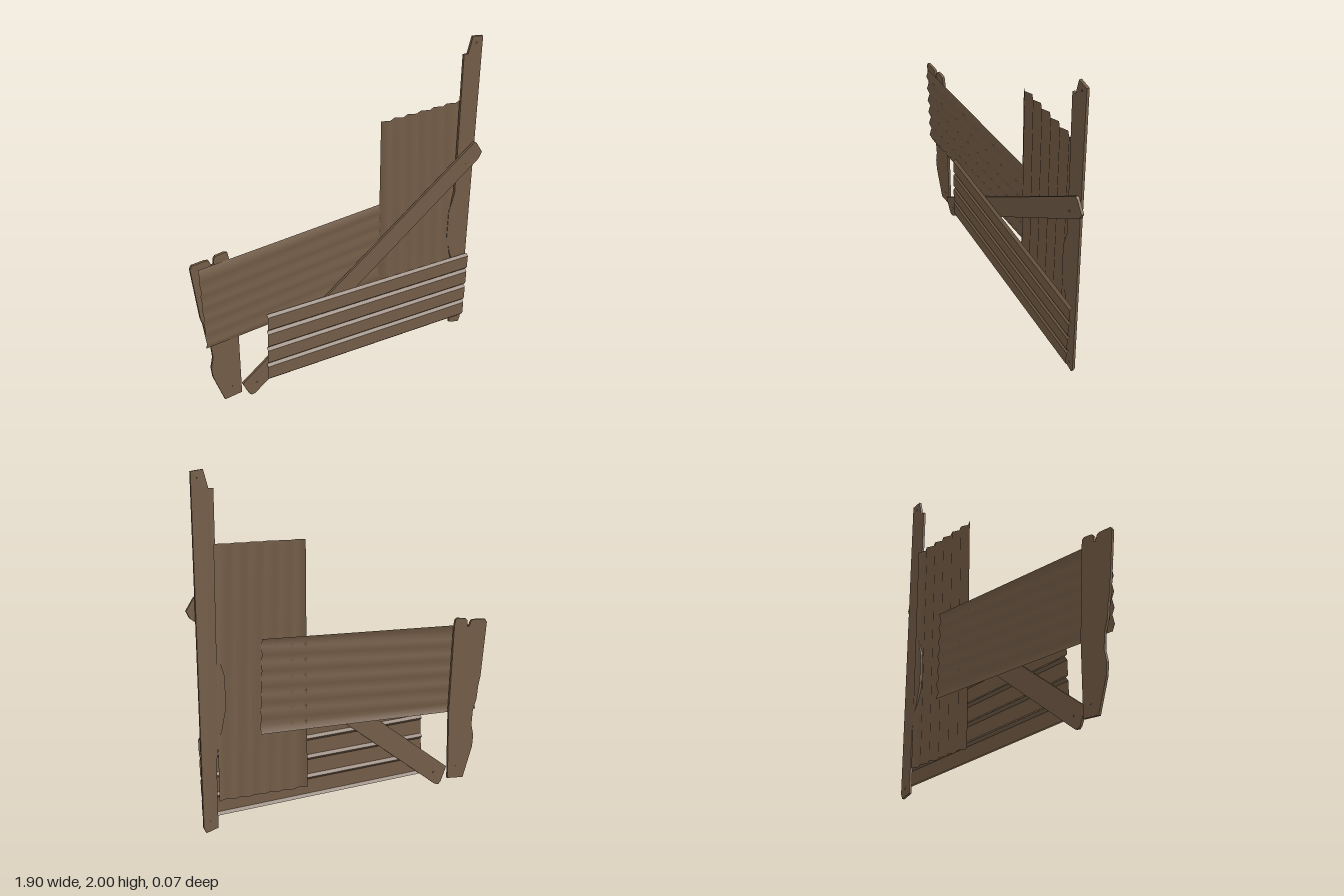
import * as THREE from 'three';

const wood = new THREE.MeshStandardMaterial({ color: 0x765f49, side: THREE.DoubleSide });
wood.name = 'weatheredBrown';

const lerp = THREE.MathUtils.lerp;
const THICK = 0.015;

// Flat board cut from an outline; its middle leans from z0 at y = 0 to z1 at y = top
function plank(name, outline, z0, z1, top, bolts) {
  const group = new THREE.Group();
  group.name = name;
  const shape = new THREE.Shape(outline.map(([x, y]) => new THREE.Vector2(x, y)));
  const geo = new THREE.ExtrudeGeometry(shape, { depth: THICK, bevelEnabled: false });
  const zAt = (y) => lerp(z0, z1, y / top);
  const p = geo.attributes.position;
  for (let i = 0; i < p.count; i++) p.setZ(i, p.getZ(i) - THICK / 2 + zAt(p.getY(i)));
  geo.computeVertexNormals();
  const board = new THREE.Mesh(geo, wood);
  board.name = name + 'Board';
  group.add(board);
  // Small nail heads
  for (const [x, y] of bolts) {
    const nail = new THREE.Mesh(new THREE.CylinderGeometry(0.007, 0.007, THICK + 0.006, 6), wood);
    nail.name = 'nail';
    nail.rotation.x = Math.PI / 2;
    nail.position.set(x, y, zAt(y));
    group.add(nail);
  }
  return group;
}

// Thin sheet spanned between two matching cross-sections
function sheet(name, a, b, creased) {
  const index = [];
  const n = a.length;
  for (let i = 0; i < n - 1; i++) index.push(i, i + 1, n + i, i + 1, n + i + 1, n + i);
  let geo = new THREE.BufferGeometry();
  geo.setAttribute('position', new THREE.Float32BufferAttribute([...a, ...b].flat(), 3));
  geo.setIndex(index);
  if (creased) geo = geo.toNonIndexed();
  geo.computeVertexNormals();
  const mesh = new THREE.Mesh(geo, wood);
  mesh.name = name;
  return mesh;
}

// Zigzag cross-section running from one point to another
function zigzag(from, to, steps, amp) {
  return Array.from({ length: steps + 1 }, (_, i) => {
    const t = i / steps;
    return [lerp(from[0], to[0], t), lerp(from[1], to[1], t),
      lerp(from[2], to[2], t) + (i % 2 ? amp : -amp)];
  });
}

// Stepped cross-section: ribs standing forward with sloped edges
function ribs(from, to, count, zIn, zOut) {
  const pts = [];
  const add = (t, z) => pts.push([lerp(from[0], to[0], t), lerp(from[1], to[1], t), z]);
  for (let i = 0; i < count; i++) {
    add(i / count, zIn);
    add((i + 0.13) / count, zOut);
    add((i + 0.86) / count, zOut);
  }
  add(1, zIn);
  return pts;
}

export function createModel() {
  const model = new THREE.Group();
  model.name = 'scrapBarricade';

  // Tall post with a notched top and a bulging inner edge
  model.add(plank('tallPost', [
    [0.81, 0.02], [0.88, 0], [0.895, 0.03], [0.91, 1.99], [0.84, 2], [0.813, 1.9], [0.785, 1.9],
    [0.785, 1], [0.75, 0.88], [0.747, 0.7], [0.775, 0.57], [0.79, 0.53], [0.81, 0.4],
  ], -0.017, 0.007, 2, [[0.87, 1.955], [0.855, 0.06]]));

  // Short split post with a worn outer edge
  model.add(plank('shortPost', [
    [-0.80, 0.07], [-0.69, 0.08], [-0.69, 0.5], [-0.72, 1.03], [-0.728, 1.07], [-0.745, 1.077],
    [-0.80, 1.07], [-0.812, 1.055], [-0.812, 1.02], [-0.825, 1.02], [-0.84, 1.055],
    [-0.86, 1.06], [-0.94, 1.055], [-0.952, 1.035], [-0.915, 0.7], [-0.9, 0.64],
    [-0.89, 0.56], [-0.865, 0.49], [-0.857, 0.4], [-0.872, 0.33], [-0.865, 0.26],
  ], -0.018, -0.018, 1, [[-0.745, 0.145]]));

  // Diagonal brace
  model.add(plank('diagonalBrace', [
    [-0.69, 0.15], [-0.65, 0.06], [-0.635, 0.046], [-0.61, 0.05], [0.93, 1.21],
    [0.95, 1.25], [0.905, 1.32], [0.89, 1.33],
  ], -0.003, 0.022, 1.3, [[-0.6, 0.125], [0.835, 1.195]]));

  // Upright corrugated sheet
  model.add(sheet('uprightSheet',
    zigzag([0.26, 0.17, -0.011], [0.8, 0.17, -0.011], 12, 0.011),
    zigzag([0.26, 1.605, -0.011], [0.8, 1.605, -0.011], 12, 0.011), false));

  // Wide corrugated sheet, slightly skewed
  model.add(sheet('wideSheet',
    zigzag([-0.913, 1.024, 0.008], [-0.898, 0.49, 0.008], 12, 0.008),
    zigzag([0.535, 1.07, -0.03], [0.55, 0.528, -0.03], 12, 0.008), false));

  // Ribbed panel low on the front
  model.add(sheet('ribbedPanel',
    ribs([-0.52, 0.592, 0], [-0.535, 0.125, 0], 4, 0.015, 0.031),
    ribs([0.897, 0.54, 0], [0.882, 0.072, 0], 4, 0.015, 0.031), true));

  return model;
}
